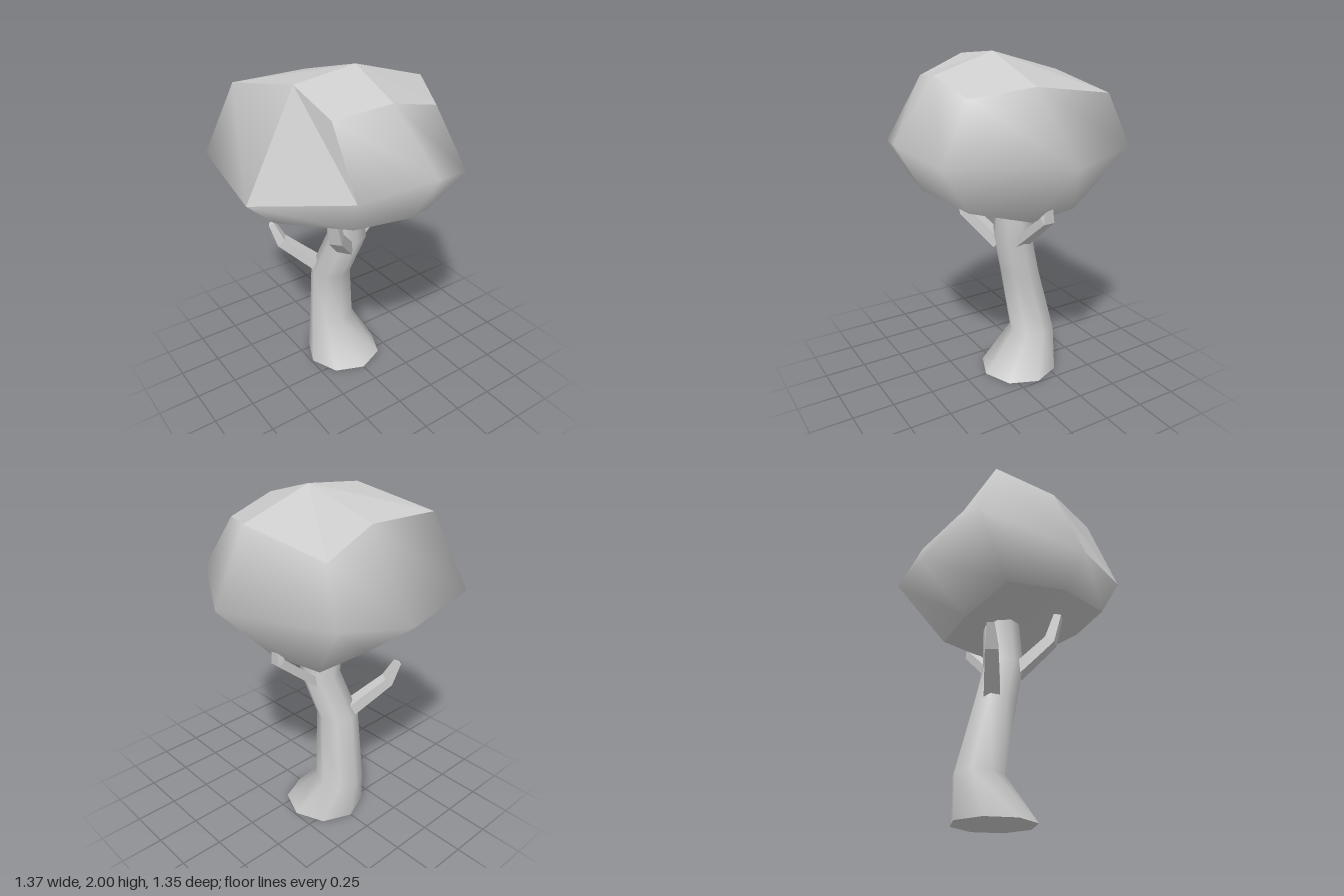
import * as THREE from 'three';

const V = (x, y, z) => new THREE.Vector3(x, y, z);

// Indexed triangles to geometry; flat faces get their own corners
function build(points, faces, flat) {
  let g = new THREE.BufferGeometry().setFromPoints(points);
  g.setIndex(faces.flat());
  if (flat) g = g.toNonIndexed();
  g.computeVertexNormals();
  return g;
}

// Faces between rings listed top to bottom, each counterclockwise from above
function wallFaces(rows, n, keep = () => true) {
  const faces = [];
  for (let r = 0; r < rows - 1; r++) {
    for (let i = 0; i < n; i++) {
      if (!keep(r, i)) continue;
      const j = (i + 1) % n, a = r * n + i, b = r * n + j;
      faces.push([a, a + n, b + n], [a, b + n, b]);
    }
  }
  return faces;
}

// Flat fan closing a ring at a centre point
function cap(ring, centre, up) {
  const n = ring.length;
  const faces = ring.map((_, i) => (up ? [n, i, (i + 1) % n] : [n, (i + 1) % n, i]));
  return build([...ring, centre], faces, true);
}

export function createModel() {
  const model = new THREE.Group();
  model.name = 'tree';
  const grey = new THREE.MeshStandardMaterial({ color: 0xcccccc });
  grey.name = 'light grey';
  const add = (parent, name, geometry) => {
    const mesh = new THREE.Mesh(geometry, grey);
    mesh.name = name;
    parent.add(mesh);
  };

  // Trunk: bent eight-sided tube, rings as [x, y, z, radius]
  const trunk = new THREE.Group();
  trunk.name = 'trunk';
  model.add(trunk);
  const trunkRings = [
    [-0.015, 1.26, -0.10, 0.105],
    [0, 0.92, -0.07, 0.12],
    [-0.063, 0.65, -0.16, 0.124],
    [-0.02, 0.24, -0.232, 0.143],
    [0, 0, -0.12, 0.24],
  ].map(([x, y, z, r]) => Array.from({ length: 8 }, (_, i) => {
    const a = (i * Math.PI) / 4;
    return V(x + r * Math.sin(a), y, z + r * Math.cos(a));
  }));
  add(trunk, 'trunkWall', build(trunkRings.flat(), wallFaces(5, 8), false));
  add(trunk, 'trunkBase', cap(trunkRings[4], V(0, 0, -0.12), false));

  // Branches: four-sided, kinked once, with [width, thickness] at each joint
  const branches = [
    ['frontBranch', [V(-0.05, 0.87, -0.01), V(-0.205, 1.05, 0.13), V(-0.245, 1.21, 0.16)],
      [[0.09, 0.07], [0.075, 0.065], [0.05, 0.045]]],
    ['leftBranch', [V(0.05, 0.87, -0.09), V(0.335, 1.11, -0.09), V(0.34, 1.19, -0.09)],
      [[0.10, 0.05], [0.07, 0.05], [0.04, 0.035]]],
    ['backBranch', [V(-0.12, 0.68, -0.215), V(-0.305, 0.85, -0.335), V(-0.348, 0.97, -0.37)],
      [[0.09, 0.07], [0.07, 0.06], [0.04, 0.035]]],
  ];
  for (const [name, path, sizes] of branches) {
    const rings = path.map((p, k) => {
      const d = path[Math.min(k + 1, 2)].clone().sub(path[Math.max(k - 1, 0)]).normalize();
      const out = path[1].clone().sub(path[0]);
      const side = V(0, 1, 0).cross(out).normalize();
      const over = d.clone().cross(side).normalize();
      const [w, t] = sizes[k];
      return [[1, 1], [-1, 1], [-1, -1], [1, -1]].map(([s, o]) =>
        p.clone().addScaledVector(side, (s * w) / 2).addScaledVector(over, (o * t) / 2));
    }).reverse();
    const group = new THREE.Group();
    group.name = name;
    add(group, name + 'Wall', build(rings.flat(), wallFaces(3, 4), true));
    add(group, name + 'Tip', cap(rings[0], path[2], true));
    model.add(group);
  }

  // Crown: three uneven rings running front, left, back, right
  const crown = new THREE.Group();
  crown.name = 'crown';
  model.add(crown);
  const upper = [
    V(-0.04, 1.89, 0.395), V(0.27, 1.81, 0.36), V(0.42, 1.865, 0.05), V(0.34, 1.78, -0.475),
    V(-0.05, 1.87, -0.395), V(-0.49, 1.86, -0.435), V(-0.39, 1.955, 0.045), V(-0.355, 1.85, 0.33),
  ];
  const middle = [
    V(0.04, 1.57, 0.67), V(0.335, 1.49, 0.55), V(0.68, 1.495, -0.035), V(0.39, 1.48, -0.6),
    V(-0.09, 1.38, -0.675), V(-0.62, 1.42, -0.605), V(-0.685, 1.36, 0.02), V(-0.36, 1.5, 0.55),
  ];
  const lower = [
    V(0.02, 1.295, 0.51), V(0.265, 1.21, 0.36), V(0.3, 1.1, -0.01), V(0.25, 1.11, -0.335),
    V(-0.07, 1.13, -0.37), V(-0.45, 1.18, -0.33), V(-0.52, 1.2, 0), V(-0.31, 1.3, 0.45),
  ];
  const points = [...upper, ...middle, ...lower];
  // Rounded sides, with one planed facet at the front corner
  const isFacet = (r, i) => r === 0 && i === 6;
  add(crown, 'crownSides', build(points, wallFaces(3, 8, (r, i) => !isFacet(r, i)), false));
  add(crown, 'crownFacet', build(points, wallFaces(3, 8, isFacet), true));
  add(crown, 'crownTop', cap(upper, V(-0.02, 2, 0.05), true));
  add(crown, 'crownUnderside', cap(lower, V(-0.03, 1.17, 0), false));

  return model;
}
